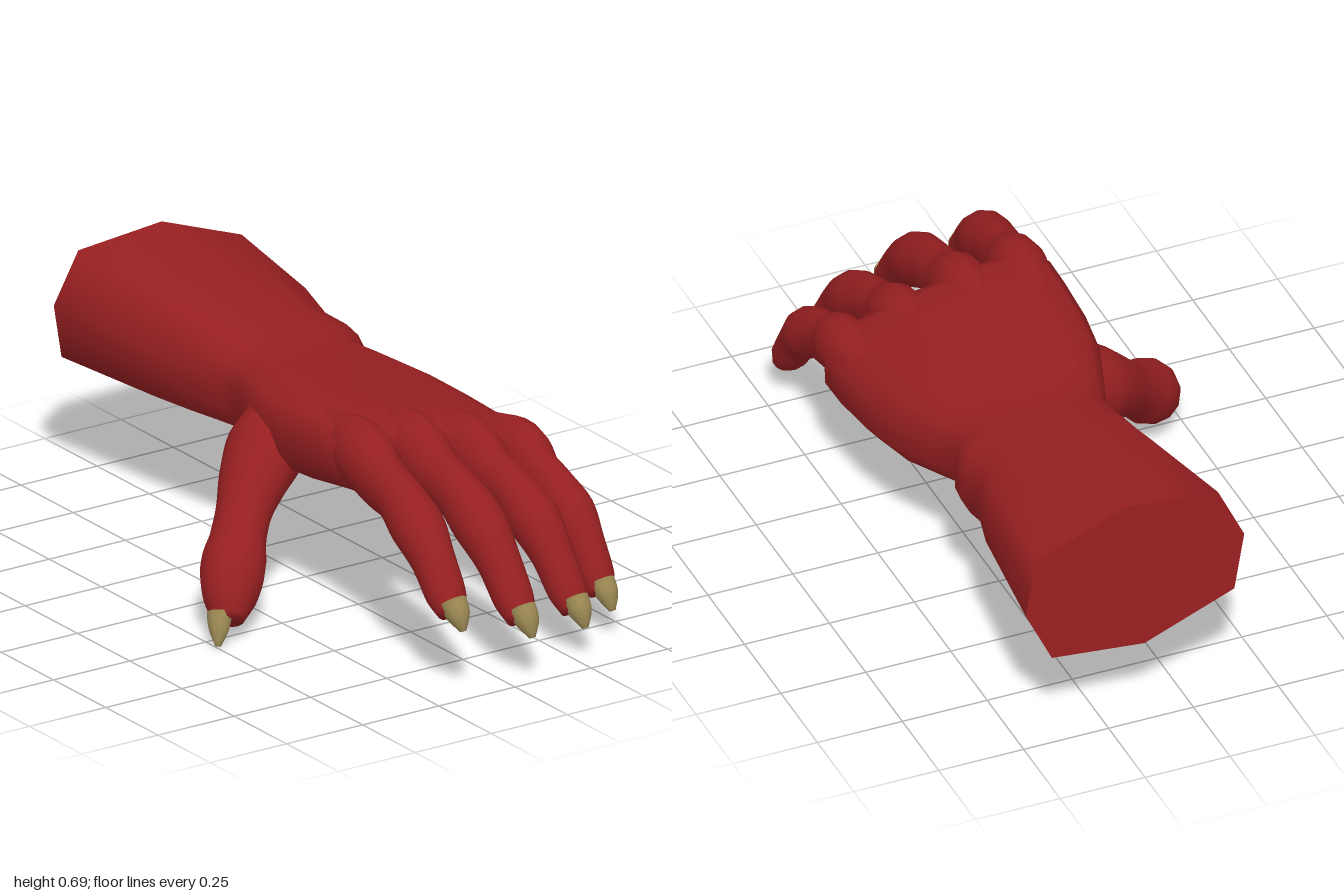
import * as THREE from 'three';

const skin = new THREE.MeshStandardMaterial({ color: 0x961f21 });
skin.name = 'red skin';
const horn = new THREE.MeshStandardMaterial({ color: 0x9a8752 });
horn.name = 'tan claw';

// Skin a list of equal-length rings; optional fan caps at either end
function loft(rings, capStart, capEnd) {
  const n = rings[0].length, pos = [], idx = [];
  rings.forEach(r => r.forEach(p => pos.push(p.x, p.y, p.z)));
  for (let k = 0; k < rings.length - 1; k++) {
    for (let i = 0; i < n; i++) {
      const j = (i + 1) % n, a = k * n + i, b = k * n + j;
      idx.push(a, b, b + n, a, b + n, a + n);
    }
  }
  const cap = (ring, base, flip) => {
    const c = new THREE.Vector3();
    ring.forEach(p => c.addScaledVector(p, 1 / n));
    const ci = pos.length / 3;
    pos.push(c.x, c.y, c.z);
    for (let i = 0; i < n; i++) {
      const j = (i + 1) % n;
      if (flip) idx.push(ci, base + j, base + i);
      else idx.push(ci, base + i, base + j);
    }
  };
  if (capStart) cap(rings[0], 0, true);
  if (capEnd) cap(rings[rings.length - 1], (rings.length - 1) * n, false);
  const g = new THREE.BufferGeometry();
  g.setAttribute('position', new THREE.Float32BufferAttribute(pos, 3));
  g.setIndex(idx);
  g.computeVertexNormals();
  return g;
}

// Tapered limb through points [x, y, z, half width, half height]
function limb(points, ref, sides, steps) {
  const path = new THREE.CatmullRomCurve3(points.map(p => new THREE.Vector3(p[0], p[1], p[2])));
  const size = new THREE.CatmullRomCurve3(
    points.map((p, i) => new THREE.Vector3(p[3], i * 0.1, p[4] ?? p[3])));
  const rings = [];
  for (let k = 0; k <= steps; k++) {
    const t = k / steps, c = path.getPoint(t), d = path.getTangent(t), r = size.getPoint(t);
    const side = ref.clone().addScaledVector(d, -ref.dot(d)).normalize();
    const up = d.clone().cross(side);
    const ring = [];
    for (let i = 0; i < sides; i++) {
      const a = i / sides * Math.PI * 2;
      ring.push(c.clone().addScaledVector(side, r.x * Math.cos(a)).addScaledVector(up, r.z * Math.sin(a)));
    }
    rings.push(ring);
  }
  return loft(rings, true, true);
}

function add(group, name, geometry, material) {
  const m = new THREE.Mesh(geometry, material);
  m.name = name;
  group.add(m);
}

// Uneven octagon of the cut arm, with edge midpoints, as 16 unit points
function octagon() {
  const c = [[1, -0.2], [0.89, 0.54], [0.06, 1], [-0.78, 0.885],
    [-1, 0.2], [-0.89, -0.54], [-0.06, -1], [0.78, -0.885]];
  return c.flatMap((p, i) => {
    const q = c[(i + 1) % 8];
    return [p, [(p[0] + q[0]) / 2, (p[1] + q[1]) / 2]];
  });
}

// Rounded box-like oval, 16 unit points, starting at the same angle
function oval() {
  const pw = v => Math.sign(v) * Math.abs(v) ** 0.68;
  return Array.from({ length: 16 }, (_, i) => {
    const a = (i - 0.5) / 16 * Math.PI * 2;
    return [pw(Math.cos(a)), pw(Math.sin(a))];
  });
}

export function createModel() {
  const hand = new THREE.Group();
  hand.name = 'clawedHand';

  // Forearm, wrist and palm: z, xMin, xMax, centre y, half height, sideways slope, roundness
  const sections = [
    [-0.975, -0.162, 0.485, 0.467, 0.218, 0, 0],
    [-0.6, -0.115, 0.44, 0.452, 0.182, 0, 0.2],
    [-0.45, -0.095, 0.4, 0.446, 0.162, -0.02, 0.5],
    [-0.37, -0.085, 0.415, 0.442, 0.148, -0.03, 0.7],
    [-0.3, -0.075, 0.405, 0.44, 0.137, -0.04, 0.9],
    [-0.25, -0.07, 0.37, 0.438, 0.13, -0.05, 1],
    [-0.15, -0.105, 0.41, 0.432, 0.135, -0.08, 1],
    [-0.02, -0.15, 0.455, 0.424, 0.142, -0.12, 1],
    [0.12, -0.168, 0.483, 0.423, 0.137, -0.16, 1],
    [0.27, -0.17, 0.497, 0.427, 0.128, -0.2, 1],
    [0.37, -0.17, 0.5, 0.43, 0.12, -0.21, 1],
    [0.42, -0.15, 0.48, 0.425, 0.1, -0.21, 1],
    [0.435, -0.12, 0.45, 0.42, 0.07, -0.21, 1],
  ];
  const oct = octagon(), ova = oval();
  const rings = sections.map(([z, x0, x1, cy, h, slope, round], k) =>
    oct.map((o, i) => {
      const u = THREE.MathUtils.lerp(o[0], ova[i][0], round);
      const v = THREE.MathUtils.lerp(o[1], ova[i][1], round);
      const dx = u * (x1 - x0) / 2;
      return new THREE.Vector3((x0 + x1) / 2 + dx, cy + h * v + slope * dx, z + (k ? 0 : 0.02 * v));
    }));
  add(hand, 'forearmAndPalm', loft(rings, false, true), skin);

  // Flat cut end of the forearm, kept separate for a sharp edge
  const middle = new THREE.Vector3(0.1615, 0.467, -0.975);
  const inner = rings[0].map(p => p.clone().lerp(middle, 0.5));
  add(hand, 'forearmEnd', loft([inner, rings[0]], true, false), skin);

  // Fingers: root x, root y, claw tip [x, y, z], thickness
  const fingers = [
    ['index', -0.092, 0.505, [-0.148, 0.18, 0.97], 1],
    ['middle', 0.075, 0.492, [0.06, 0.125, 0.998], 1],
    ['ring', 0.258, 0.447, [0.277, 0.085, 0.935], 0.96],
    ['little', 0.425, 0.402, [0.432, 0.07, 0.838], 0.92],
  ];
  // Finger profile from knuckle to tip: distance, fall, half width, half height
  const profile = [
    [0, 0, 0.08, 0.096], [0.2, 0.13, 0.068, 0.084], [0.4, 0.2, 0.064, 0.075],
    [0.6, 0.36, 0.074, 0.078], [0.78, 0.6, 0.06, 0.064], [0.92, 0.86, 0.056, 0.054],
    [1, 1, 0.042, 0.036],
  ];
  const xAxis = new THREE.Vector3(1, 0, 0);
  for (const [name, rx, ry, [tx, ty, tz], s] of fingers) {
    const g = new THREE.Group();
    g.name = name + 'Finger';
    const z0 = 0.41, dz = tz - 0.05 - z0, dy = ty + 0.04 - ry;
    const points = profile.map(([u, fall, w, h]) =>
      [rx + (tx - rx) * u, ry + dy * fall, z0 + dz * u, w * s, h * s]);
    // Knuckle tendon fading into the back of the palm
    points.unshift([rx * 0.92 + 0.013, ry - 0.01, 0.1, 0.04 * s, 0.07 * s],
      [rx * 0.96 + 0.006, ry - 0.002, 0.28, 0.062 * s, 0.085 * s]);
    add(g, name + 'Flesh', limb(points, xAxis, 12, 32), skin);
    add(g, name + 'Claw', limb([
      [tx, ty + 0.075, tz - 0.052, 0.038 * s], [tx, ty + 0.042, tz - 0.025, 0.033 * s],
      [tx, ty + 0.004, tz - 0.002, 0.009]], xAxis, 10, 6), horn);
    hand.add(g);
  }

  // Thumb, reaching outward and down
  const thumb = new THREE.Group();
  thumb.name = 'thumb';
  const zAxis = new THREE.Vector3(0, 0, 1);
  add(thumb, 'thumbFlesh', limb([
    [-0.03, 0.43, -0.07, 0.1], [-0.12, 0.395, -0.01, 0.118, 0.105], [-0.2, 0.335, 0.04, 0.1, 0.09],
    [-0.265, 0.275, 0.09, 0.08, 0.076], [-0.32, 0.225, 0.14, 0.08, 0.076],
    [-0.37, 0.17, 0.19, 0.09, 0.092], [-0.415, 0.105, 0.24, 0.074, 0.076],
    [-0.445, 0.055, 0.275, 0.045, 0.04]], zAxis, 12, 32), skin);
  add(thumb, 'thumbClaw', limb([
    [-0.463, 0.08, 0.262, 0.036], [-0.481, 0.042, 0.285, 0.028], [-0.496, 0.004, 0.303, 0.008]],
  zAxis, 10, 6), horn);
  hand.add(thumb);

  return hand;
}
